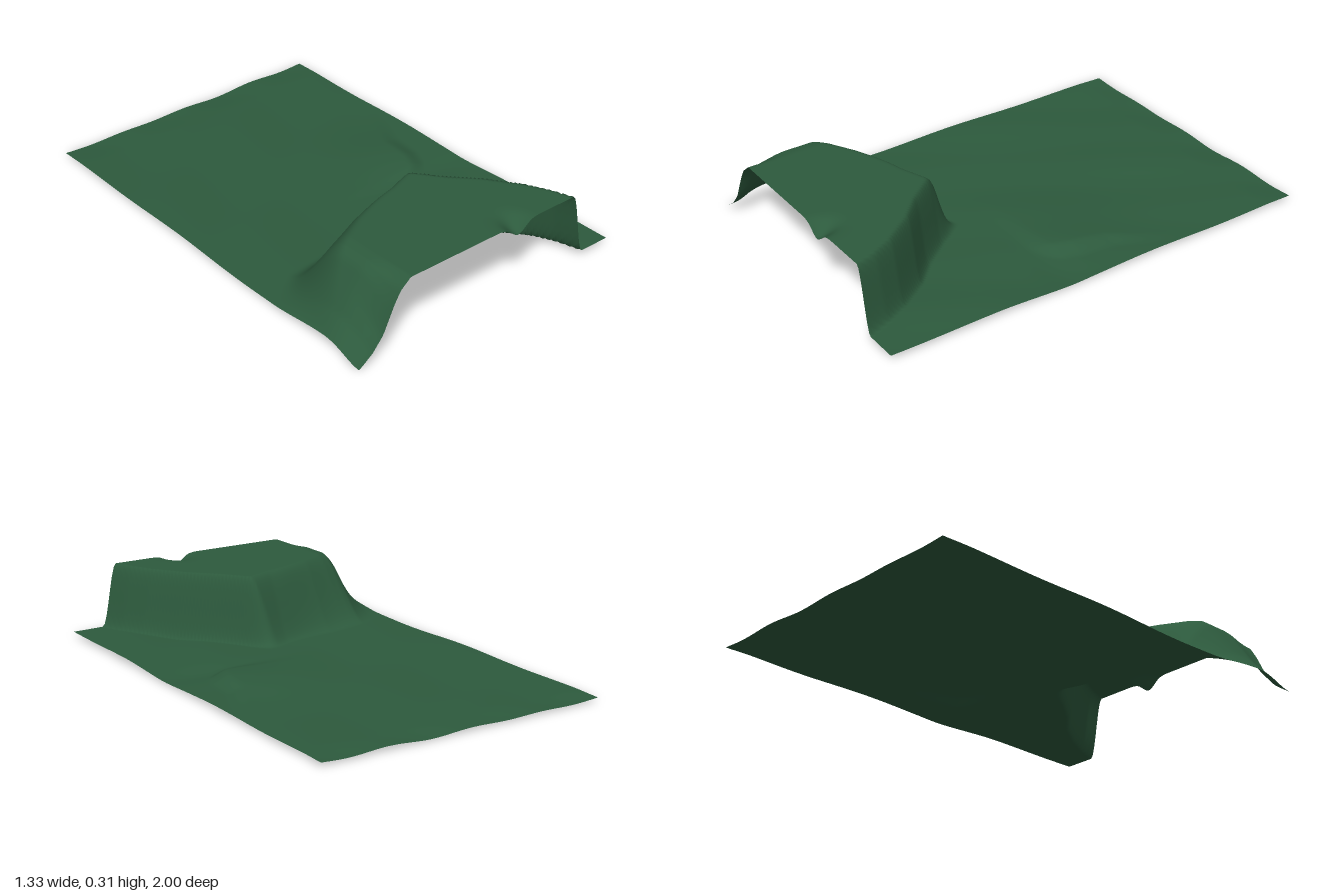
import * as THREE from 'three';

const W = 1.333, D = 2, TOP = 0.31;
const step = THREE.MathUtils.smoothstep;

// piecewise-linear lookup through [input, output] pairs
function lookup(points, t) {
  if (t <= points[0][0]) return points[0][1];
  for (let i = 1; i < points.length; i++) {
    const [a, va] = points[i - 1], [b, vb] = points[i];
    if (t <= b) return va + (vb - va) * (t - a) / (b - a);
  }
  return points[points.length - 1][1];
}

const bump = (x, z, cx, cz, rx, rz) => Math.exp(-(((x - cx) / rx) ** 2) - ((z - cz) / rz) ** 2);

// plan lines of the mesa's cliff (x by z) and its back slope (z by x)
const cliff = [[0.3, 0.03], [0.36, 0.06], [0.43, 0.1], [0.56, 0.2], [0.66, 0.3], [0.8, 0.4], [0.9, 0.45], [1, 0.485]];
const back = [[-0.67, 0.66], [-0.5, 0.54], [-0.3, 0.47], [-0.05, 0.41], [0.06, 0.37], [0.2, 0.36]];
// rise of the left flank
const flank = [[-0.667, 0.1], [-0.6, 0.36], [-0.55, 0.62], [-0.5, 0.88], [-0.47, 0.97], [-0.42, 1]];
const flankFront = [[-0.667, 0], [-0.6, 0.14], [-0.55, 0.32], [-0.5, 0.68], [-0.47, 0.86], [-0.42, 1]];
// plan line of the low terrace edge (x by z)
const terrace = [[-0.45, 0.67], [-0.3, 0.59], [-0.15, 0.51], [0, 0.49], [0.08, 0.46], [0.14, 0.4]];

// gently rolling ground with a low terrace
function ground(x, z) {
  let y = 0.018 + 0.004 * Math.sin(7 * x + 2 * z) * Math.cos(5 * z - 2 * x) + 0.002 * Math.sin(15 * x + 9 * z);
  y -= 0.008 * step(-z, 0.85, 1) * (0.5 + 0.5 * Math.cos(17 * (x + 0.18)));
  const drop = 1 - step(x - lookup(terrace, z), -0.05, 0.05);
  y += 0.028 * drop * (1 - step(z, 0.08, 0.17)) * bump(x, z, 0.45, 0, 0.25, 0.26);
  y -= 0.008 * bump(x, z, 0.5, 0.15, 0.15, 0.08);
  return y + 0.006 * step(z, 0.2, 0.5) * step(x, 0.2, 0.6);
}

function height(x, z) {
  const base = ground(x, z) * (1 - 0.9 * step(z, 0.85, 1) * step(-x, 0.5, 0.667));
  const right = 1 - step(x - lookup(cliff, z), -0.04, 0.035);
  const width = 0.09 + 0.08 * step(-x, 0.1, 0.6);
  const rear = step(z - lookup(back, x), -width, width);
  const left = THREE.MathUtils.lerp(lookup(flank, x), lookup(flankFront, x), step(z, 0.8, 1));
  const y = base + (TOP - base) * right * rear * left;
  // notch in the front rim
  return y - 0.05 * bump(x, z, 0.14, 1, 0.05, 0.07);
}

export function createModel() {
  const group = new THREE.Group();
  const geometry = new THREE.PlaneGeometry(W, D, 120, 170).rotateX(-Math.PI / 2);
  const p = geometry.attributes.position;
  for (let i = 0; i < p.count; i++) p.setY(i, Math.max(0, height(p.getX(i), p.getZ(i))));
  geometry.computeVertexNormals();
  const terrain = new THREE.Mesh(geometry, new THREE.MeshStandardMaterial({ color: 0x2d5a3d, side: THREE.DoubleSide }));
  terrain.name = 'terrain';
  group.add(terrain);
  return group;
}
